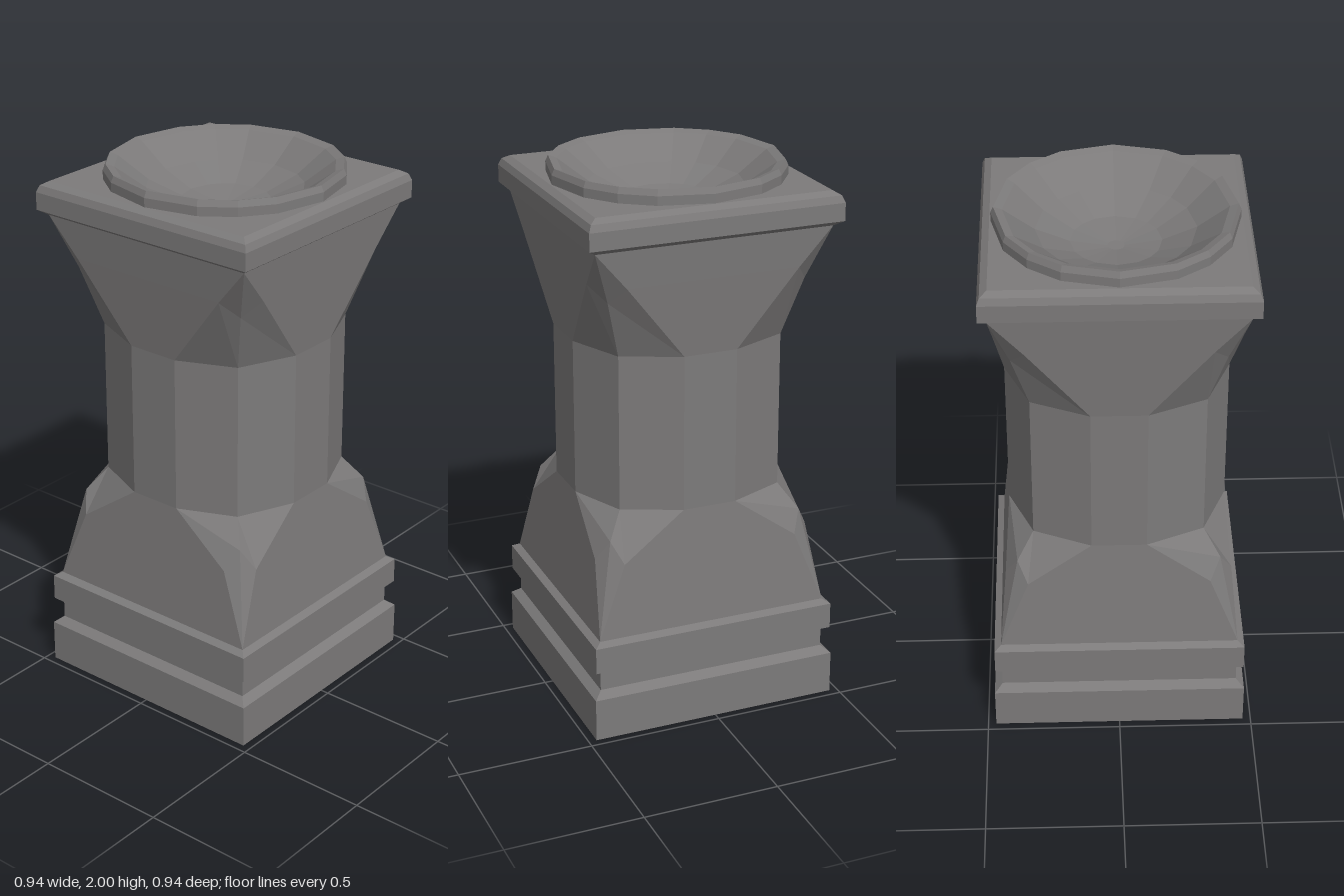
import * as THREE from 'three';

const stone = new THREE.MeshStandardMaterial({ color: 0x7c7a7a });
stone.name = 'grey stone';

// Flat-faced mesh from a list of convex polygons, each a loop of [x, y, z]
function facetMesh(name, faces) {
  const pos = [];
  for (const f of faces) {
    for (let i = 1; i < f.length - 1; i++) pos.push(...f[0], ...f[i], ...f[i + 1]);
  }
  const geo = new THREE.BufferGeometry();
  geo.setAttribute('position', new THREE.Float32BufferAttribute(pos, 3));
  geo.computeVertexNormals();
  const mesh = new THREE.Mesh(geo, stone);
  mesh.name = name;
  return mesh;
}

// Faces swept from a unit outline [x, z] scaled by a profile of [size, y]
function loft(outline, profile) {
  const faces = [];
  for (let j = 0; j < profile.length - 1; j++) {
    const [s0, y0] = profile[j], [s1, y1] = profile[j + 1];
    outline.forEach(([ax, az], i) => {
      const [bx, bz] = outline[(i + 1) % outline.length];
      const a = [ax * s0, y0, az * s0], b = [bx * s0, y0, bz * s0];
      const c = [bx * s1, y1, bz * s1], d = [ax * s1, y1, az * s1];
      if (s0 > 0) faces.push([a, b, c]);
      if (s1 > 0) faces.push([a, c, d]);
    });
  }
  return faces;
}

// Turn a point by k quarter turns about y
function turn([x, y, z], k) {
  for (let i = 0; i < k; i++) [x, z] = [z, -x];
  return [x, y, z];
}

// Transition from the twelve-sided shaft (A, D) to a square end (C), with
// chamfered corners running through side points S and a diagonal point M
function transition(name, yShaft, yEnd, side, mid, flip) {
  const faces = [];
  const mirrorX = ([x, y, z]) => [-x, y, z];
  const swap = ([x, y, z]) => [z, y, x];
  const A = [0.1, yShaft, 0.4], D = [0.31, yShaft, 0.31];
  const C = [0.44, yEnd, 0.44], S = side, M = mid;
  const quarter = [
    [mirrorX(A), A, S, mirrorX(S)],
    [mirrorX(S), S, C, mirrorX(C)],
    [C, S, M],
    [C, M, swap(S)],
    [S, A, D, M],
    [M, D, swap(A), swap(S)],
  ];
  for (let k = 0; k < 4; k++) {
    for (const f of quarter) {
      const g = f.map((p) => turn(p, k));
      faces.push(flip ? g.reverse() : g);
    }
  }
  return facetMesh(name, faces);
}

export function createModel() {
  const group = new THREE.Group();
  group.name = 'pedestal basin';

  const square = [[-1, 1], [1, 1], [1, -1], [-1, -1]];
  const shaftOutline = [];
  for (let k = 0; k < 4; k++) {
    for (const p of [[-0.1, 0, 0.4], [0.1, 0, 0.4], [0.31, 0, 0.31]]) {
      const [x, , z] = turn(p, k);
      shaftOutline.push([x, z]);
    }
  }
  const round = [];
  for (let k = 0; k < 4; k++) {
    for (const deg of [0, 26.6, 45, 63.4]) {
      const a = THREE.MathUtils.degToRad(deg + k * 90);
      round.push([Math.sin(a), Math.cos(a)]);
    }
  }

  // Stepped square base, closed underneath
  group.add(facetMesh('base', loft(square, [
    [0, 0], [0.47, 0], [0.47, 0.16], [0.44, 0.185], [0.44, 0.255],
    [0.465, 0.267], [0.465, 0.365], [0.44, 0.38],
  ])));

  // Shaft and its two flared ends
  group.add(transition('lowerFlare', 0.82, 0.38, [0.333, 0.653, 0.415], [0.37, 0.73, 0.37], true));
  group.add(facetMesh('shaft', loft(shaftOutline, [[1, 0.82], [1, 1.4]])));
  group.add(transition('upperFlare', 1.4, 1.82, [0.32, 1.68, 0.427], [0.37, 1.62, 0.37], false));

  // Square capital slab with bevelled top edge
  group.add(facetMesh('slab', loft(square, [
    [0.44, 1.82], [0.47, 1.84], [0.47, 1.905], [0.46, 1.93], [0.435, 1.945],
  ])));

  // Slab top with an opening for the basin
  const top = new THREE.Shape(square.map(([x, z]) => new THREE.Vector2(x * 0.435, z * 0.435)));
  top.holes.push(new THREE.Path(round.map(([x, z]) => new THREE.Vector2(x * 0.428, z * 0.428))));
  const topGeo = new THREE.ShapeGeometry(top);
  topGeo.rotateX(-Math.PI / 2);
  topGeo.translate(0, 1.945, 0);
  const slabTop = new THREE.Mesh(topGeo, stone);
  slabTop.name = 'slabTop';
  group.add(slabTop);

  // Raised rim and shallow bowl
  group.add(facetMesh('basin', loft(round, [
    [0.43, 1.94], [0.43, 1.978], [0.42, 2], [0.39, 1.99],
    [0.28, 1.91], [0.16, 1.86], [0.03, 1.84], [0, 1.84],
  ])));

  return group;
}
